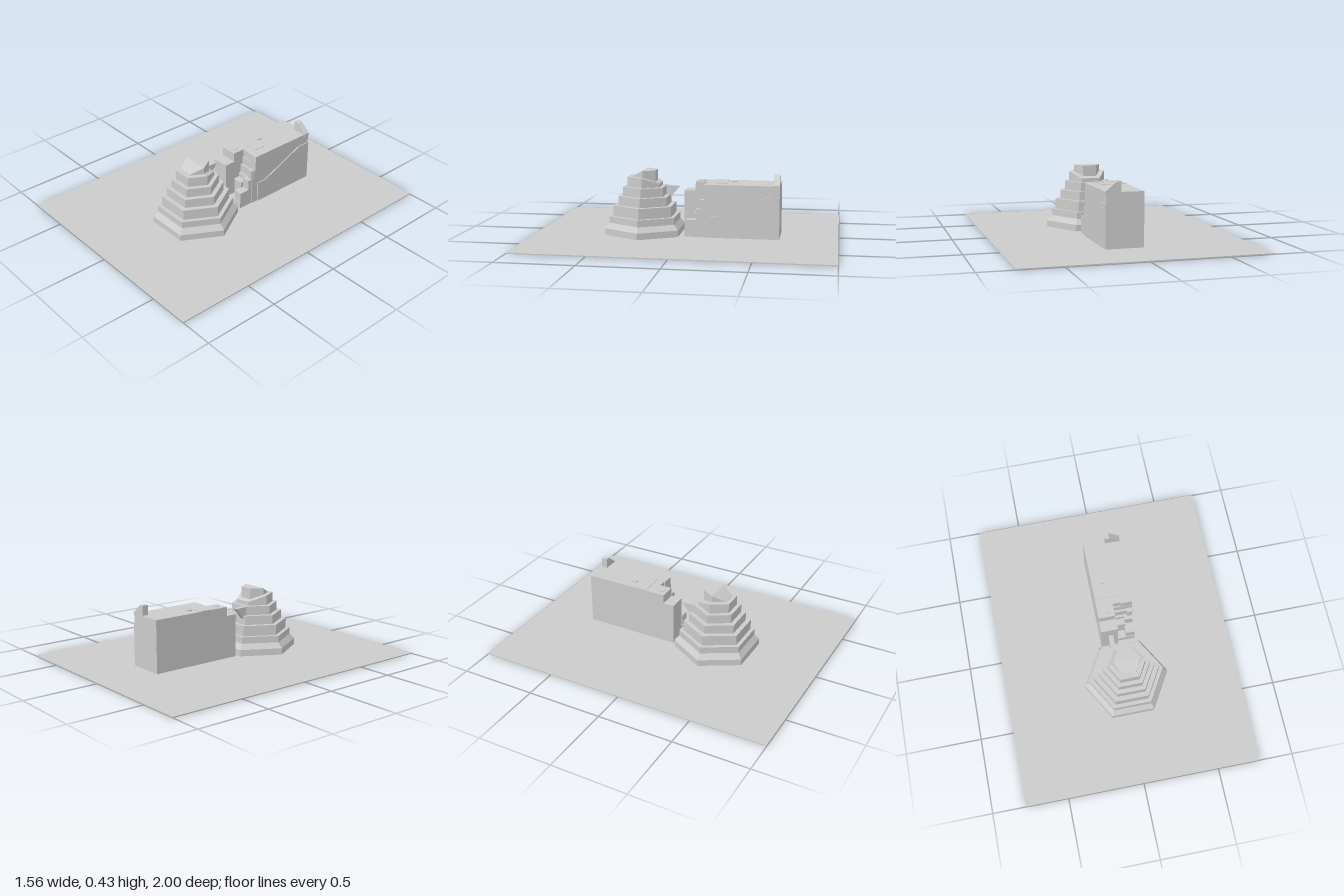
import * as THREE from 'three';

const mat = new THREE.MeshStandardMaterial({ color: 0xcccccc, flatShading: true, side: THREE.DoubleSide });

function add(parent, name, geometry) {
  const mesh = new THREE.Mesh(geometry, mat);
  mesh.name = name;
  parent.add(mesh);
  return mesh;
}

// Box given by its limits on each axis
function box(parent, name, x0, x1, y0, y1, z0, z1) {
  const g = new THREE.BoxGeometry(x1 - x0, y1 - y0, z1 - z0);
  return add(parent, name, g.translate((x0 + x1) / 2, (y0 + y1) / 2, (z0 + z1) / 2));
}

// Six-sided ring with corners on the x axis
function hex(parent, name, rBottom, rTop, y0, y1) {
  const g = new THREE.CylinderGeometry(rTop, rBottom, y1 - y0, 6, 1, false, Math.PI / 2);
  return add(parent, name, g.translate(0, (y0 + y1) / 2, 0));
}

// Lower the top corners picked by a test on z
function lowerTop(mesh, test, top, y) {
  const p = mesh.geometry.attributes.position;
  for (let i = 0; i < p.count; i++) {
    if (p.getY(i) > top - 0.001 && test(p.getZ(i))) p.setY(i, y);
  }
}

// Side profile in (z, y), extruded from x0 to x1
function sideProfile(parent, name, pts, x0, x1) {
  const shape = new THREE.Shape(pts.map(([z, y]) => new THREE.Vector2(-z, y)));
  const g = new THREE.ExtrudeGeometry(shape, { depth: x1 - x0, bevelEnabled: false });
  return add(parent, name, g.rotateY(Math.PI / 2).translate(x0, 0, 0));
}

function makeTower() {
  const tower = new THREE.Group();
  tower.name = 'steppedTower';
  hex(tower, 'towerBase', 0.283, 0.283, 0, 0.05);
  hex(tower, 'towerChamfer', 0.283, 0.25, 0.05, 0.085);
  const tiers = [[0.25, 0.085, 0.13], [0.222, 0.13, 0.2], [0.187, 0.2, 0.26], [0.155, 0.26, 0.32]];
  tiers.forEach(([r, y0, y1], i) => hex(tower, 'tier' + (i + 1), r, r, y0, y1));

  // Top tier falls away at the rear, the cap slopes at the front
  const top = hex(tower, 'topTier', 0.125, 0.125, 0.32, 0.385);
  lowerTop(top, z => z < -0.05, 0.385, 0.345);
  const cap = hex(tower, 'cap', 0.09, 0.09, 0.32, 0.43);
  lowerTop(cap, z => z > 0.05, 0.43, 0.388);

  // Pointed beak at the rear
  sideProfile(tower, 'beak', [[-0.11, 0.32], [-0.225, 0.315], [-0.15, 0.225], [-0.11, 0.225]], -0.075, -0.045);
  tower.position.set(0.027, 0, 0.285);
  return tower;
}

function makeBuilding() {
  const b = new THREE.Group();
  b.name = 'building';

  // Main hall, stepped at its front
  sideProfile(b, 'hall', [[-0.1, 0], [-0.62, 0], [-0.62, 0.355], [-0.14, 0.355], [-0.14, 0.3],
    [-0.13, 0.3], [-0.13, 0.25], [-0.115, 0.25], [-0.115, 0.19], [-0.1, 0.19]], -0.09, 0.15);

  // Slightly proud lower wall with a sloping upper edge
  sideProfile(b, 'buttress', [[-0.15, 0], [-0.62, 0], [-0.62, 0.285], [-0.53, 0.285], [-0.22, 0.15], [-0.15, 0.15]], 0.15, 0.157);

  // Front column with a lower ledge
  box(b, 'frontColumn', -0.09, 0.02, 0, 0.355, -0.15, -0.055);
  box(b, 'frontLedge', -0.09, 0.025, 0, 0.295, -0.055, 0.02);
  const hatch = add(b, 'columnHatch', new THREE.CylinderGeometry(0.022, 0.022, 0.004, 20));
  hatch.position.set(-0.03, 0.356, -0.1);
  box(b, 'roofPlate', -0.09, 0.08, 0.35, 0.358, -0.27, -0.19);
  box(b, 'roofVent', -0.03, 0.0, 0.355, 0.362, -0.325, -0.295);

  // Irregular steps beside the column
  const steps = [
    [0.02, 0.145, 0, 0.05, -0.1, 0],
    [0.02, 0.09, 0.05, 0.16, -0.1, -0.055],
    [0.085, 0.145, 0.05, 0.12, -0.1, -0.005],
    [0.09, 0.145, 0.12, 0.19, -0.115, -0.075],
    [0.11, 0.145, 0.19, 0.255, -0.13, -0.1],
    [0.07, 0.15, 0.3, 0.355, -0.15, -0.132],
  ];
  steps.forEach((s, i) => box(b, 'step' + (i + 1), ...s));

  // Rear post, high on the inside and dropping outward
  const shape = new THREE.Shape([[0.055, 0.34], [0.157, 0.34], [0.157, 0.36], [0.085, 0.42], [0.055, 0.42]]
    .map(([x, y]) => new THREE.Vector2(x, y)));
  const g = new THREE.ExtrudeGeometry(shape, { depth: 0.04, bevelEnabled: false });
  add(b, 'rearPost', g.translate(0, 0, -0.62));
  return b;
}

export function createModel() {
  const model = new THREE.Group();
  model.name = 'towerAndBuilding';
  box(model, 'groundPlate', -0.78, 0.78, 0, 0.007, -1, 1);
  model.add(makeTower(), makeBuilding());
  return model;
}
